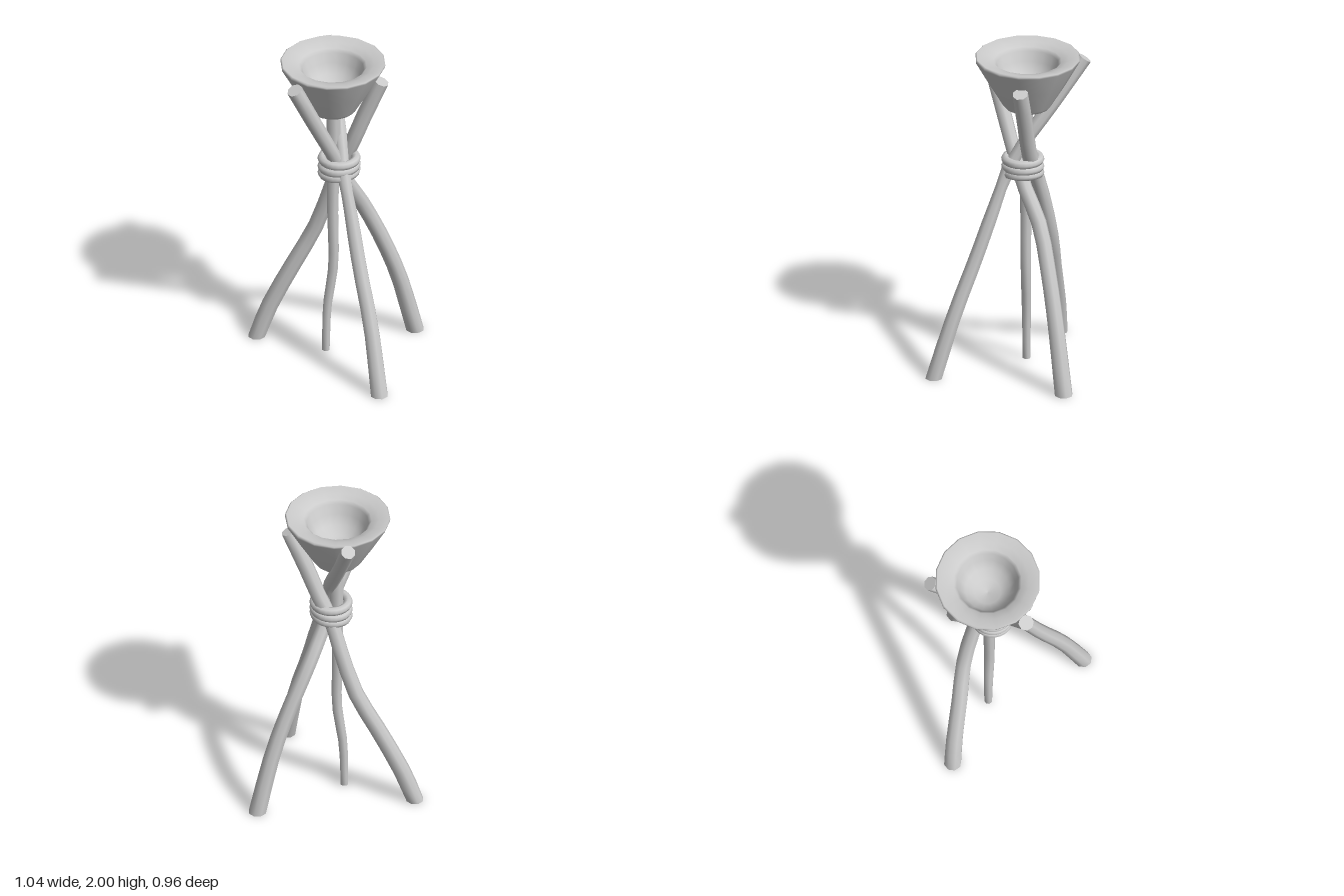
import * as THREE from 'three';
import { toCreasedNormals } from 'three/addons/utils/BufferGeometryUtils.js';

const material = new THREE.MeshStandardMaterial({ color: 0xcccccc });
const SIDES = 8, STEPS = 16;

// Bent pole with capped ends through [x, y, z, radius] points, foot cut level
function poleGeometry(points) {
  const path = new THREE.CatmullRomCurve3(points.map(p => new THREE.Vector3(p[0], p[1], p[2])));
  const radii = new THREE.CatmullRomCurve3(points.map(p => new THREE.Vector3(p[3], 0, 0)));
  const pos = [], index = [];
  for (let i = 0; i <= STEPS; i++) {
    const t = i / STEPS;
    const c = path.getPoint(t), r = radii.getPoint(t).x;
    const dir = i === 0 ? new THREE.Vector3(0, 1, 0) : path.getTangent(t);
    const u = new THREE.Vector3(1, 0, 0).addScaledVector(dir, -dir.x).normalize();
    const v = dir.clone().cross(u);
    for (let j = 0; j < SIDES; j++) {
      const a = (j + 0.5) / SIDES * Math.PI * 2;
      const p = c.clone().addScaledVector(u, r * Math.cos(a)).addScaledVector(v, r * Math.sin(a));
      pos.push(p.x, p.y, p.z);
    }
  }
  const at = (i, j) => i * SIDES + j % SIDES;
  for (let i = 0; i < STEPS; i++) {
    for (let j = 0; j < SIDES; j++) {
      index.push(at(i, j), at(i, j + 1), at(i + 1, j));
      index.push(at(i, j + 1), at(i + 1, j + 1), at(i + 1, j));
    }
  }
  for (let j = 1; j < SIDES - 1; j++) {
    index.push(at(0, 0), at(0, j + 1), at(0, j));
    index.push(at(STEPS, 0), at(STEPS, j), at(STEPS, j + 1));
  }
  const g = new THREE.BufferGeometry();
  g.setAttribute('position', new THREE.Float32BufferAttribute(pos, 3));
  g.setIndex(index);
  return toCreasedNormals(g, 1);
}

export function createModel() {
  const model = new THREE.Group();
  model.name = 'tripodBowlStand';
  const add = (name, geometry) => {
    const mesh = new THREE.Mesh(geometry, material);
    mesh.name = name;
    model.add(mesh);
    return mesh;
  };

  // Crossing poles and the thin centre pole, each from foot to top
  const poles = {
    frontLeftPole: [
      [0.29, 0, 0.425, 0.053], [0.235, 0.4, 0.305, 0.047], [0.16, 0.75, 0.18, 0.045],
      [0.105, 1.05, 0.08, 0.043], [0.06, 1.28, 0, 0.043], [0.04, 1.45, -0.09, 0.043],
      [-0.01, 1.68, -0.25, 0.045], [-0.075, 1.975, -0.45, 0.044]],
    backLeftPole: [
      [0.47, 0, -0.375, 0.055], [0.375, 0.4, -0.32, 0.05], [0.28, 0.68, -0.27, 0.048],
      [0.16, 0.97, -0.2, 0.047], [0.07, 1.18, -0.1, 0.045], [0.01, 1.36, -0.035, 0.043],
      [-0.11, 1.65, 0.06, 0.046], [-0.23, 1.945, 0.155, 0.048]],
    backRightPole: [
      [-0.475, 0, -0.255, 0.053], [-0.395, 0.22, -0.255, 0.052], [-0.25, 0.52, -0.245, 0.05],
      [-0.12, 0.78, -0.24, 0.048], [-0.025, 1.08, -0.2, 0.046], [0.03, 1.27, -0.16, 0.045],
      [0.1, 1.42, -0.13, 0.048], [0.175, 1.62, -0.115, 0.049], [0.28, 1.875, -0.095, 0.048]],
    centrePole: [
      [-0.053, 0.005, -0.1, 0.024], [-0.045, 0.3, -0.1, 0.028], [-0.008, 0.6, -0.1, 0.032],
      [-0.012, 0.95, -0.1, 0.035], [-0.008, 1.25, -0.1, 0.04], [-0.006, 1.5, -0.1, 0.044],
      [-0.008, 1.71, -0.1, 0.046]],
  };
  for (const [name, points] of Object.entries(poles)) add(name, poleGeometry(points));

  // Binding: three slightly tilted turns of cord
  [[1.345, 0], [1.297, 0.06], [1.258, 0.1]].forEach(([y, tilt], i) => {
    const turn = add('bindingTurn' + (i + 1), new THREE.TorusGeometry(0.103, 0.027, 8, 24).rotateX(Math.PI / 2));
    turn.position.set(0.027, y, -0.085);
    turn.rotation.z = tilt;
  });

  // Bowl: thick conical cup with a dished rim and rounded hollow
  const profile = [
    [0, 1.667], [0.115, 1.667], [0.135, 1.672], [0.15, 1.69], [0.235, 1.835], [0.316, 1.98],
    [0.317, 1.993], [0.308, 2], [0.25, 1.985], [0.205, 1.97], [0.187, 1.95],
    [0.168, 1.89], [0.135, 1.835], [0.08, 1.795], [0, 1.78],
  ].map(p => new THREE.Vector2(p[0], p[1]));
  const bowl = add('bowl', new THREE.LatheGeometry(profile, 16));
  bowl.position.set(-0.012, 0, -0.11);
  bowl.rotation.y = -0.07;
  return model;
}
